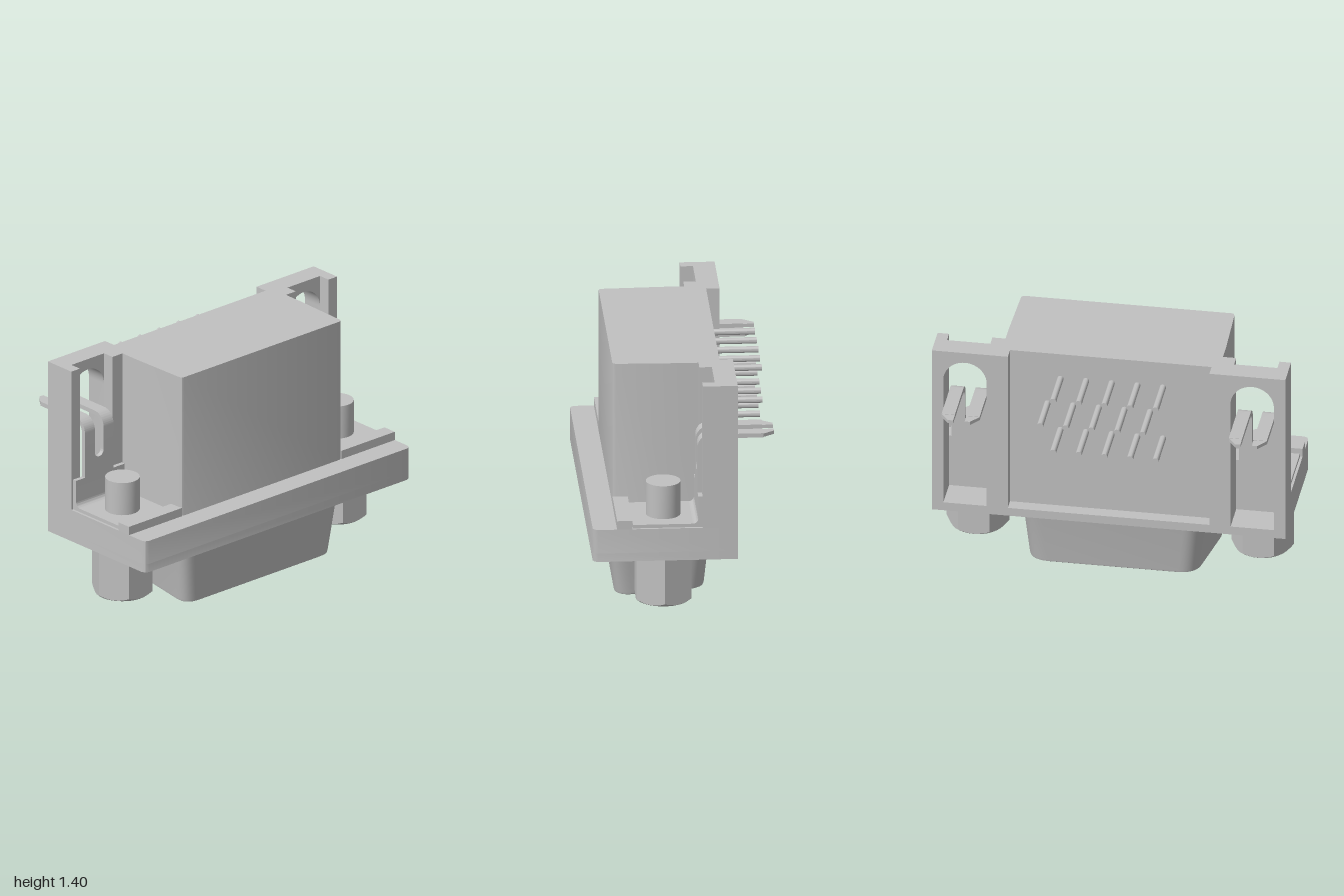
import * as THREE from 'three';
import { toCreasedNormals } from 'three/addons/utils/BufferGeometryUtils.js';

const grey = new THREE.MeshStandardMaterial({ color: 0xc0c0c0 });
grey.name = 'light grey';

function add(parent, name, geometry, x = 0, y = 0, z = 0) {
  const mesh = new THREE.Mesh(toCreasedNormals(geometry, 0.5), grey);
  mesh.name = name;
  mesh.position.set(x, y, z);
  parent.add(mesh);
  return mesh;
}

const poly = (pts) => new THREE.Shape(pts.map(([a, b]) => new THREE.Vector2(a, b)));
const extrude = (shape, depth) =>
  new THREE.ExtrudeGeometry(shape, { depth, bevelEnabled: false, curveSegments: 16 });

// Outline in (x, z), raised from y0 to y1
function plan(pts, y0, y1) {
  return extrude(poly(pts.map(([x, z]) => [x, -z])), y1 - y0).rotateX(-Math.PI / 2).translate(0, y0, 0);
}
// Outline in (x, y), from z0 to z1
const frontal = (shape, z0, z1) => extrude(shape, z1 - z0).translate(0, 0, z0);
// Outline in (z, y), centred on x with the given width
const sideways = (shape, x, width) =>
  extrude(shape, width).rotateY(-Math.PI / 2).translate(x + width / 2, 0, 0);

const mirrored = (pts) => [...pts, ...pts.map(([x, z]) => [-x, z]).reverse()];

// Rounded D outline of the shell, grown by o; k flips the second axis
function dOutline(o, k) {
  const zf = 0.36 + o, zb = -0.15 - o;
  const c = [[-0.47 - o, zb], [-0.56 - o, zf], [0.56 + o, zf], [0.47 + o, zb]];
  const shape = new THREE.Shape();
  c.forEach((p, i) => {
    const toward = (q) => {
      const t = 0.1 / Math.hypot(q[0] - p[0], q[1] - p[1]);
      return [p[0] + (q[0] - p[0]) * t, k * (p[1] + (q[1] - p[1]) * t)];
    };
    const a = toward(c[(i + 3) % 4]), b = toward(c[(i + 1) % 4]);
    if (i === 0) shape.moveTo(...a);
    else shape.lineTo(...a);
    shape.quadraticCurveTo(p[0], k * p[1], ...b);
  });
  return shape;
}

// Flared shell wall lofted through D outlines
function shellWall() {
  const levels = [[0, -0.012], [0.006, -0.003], [0.018, 0], [0.33, 0.033], [0.352, 0.04], [0.365, 0.052], [0.371, 0.07]];
  const pos = [], index = [];
  let n = 0;
  for (const [y, o] of levels) {
    const pts = dOutline(o, -1).getPoints(8);
    if (THREE.ShapeUtils.isClockWise(pts)) pts.reverse();
    n = pts.length;
    for (const p of pts) pos.push(p.x, y, -p.y);
  }
  for (let l = 0; l < levels.length - 1; l++) {
    for (let j = 0; j < n; j++) {
      const a = l * n + j, b = l * n + ((j + 1) % n);
      index.push(a, b, a + n, b, b + n, a + n);
    }
  }
  const g = new THREE.BufferGeometry();
  g.setAttribute('position', new THREE.Float32BufferAttribute(pos, 3));
  g.setIndex(index);
  return g;
}

// Hexagonal jack nut: a lathe whose outer rings are pushed to a hexagon
function hexNut() {
  const profile = [[0, 0.22], [0.088, 0.22], [0.088, 0.1], [0.108, 0.08], [0.15, 0.08], [0.2, 0.08], [0.2, 0.372]];
  const g = new THREE.LatheGeometry(profile.map(([r, y]) => new THREE.Vector2(r, y)), 60);
  const p = g.attributes.position;
  for (let i = 0; i < p.count; i++) {
    const x = p.getX(i), z = p.getZ(i), y = p.getY(i);
    if (Math.hypot(x, z) < 0.19) continue;
    const a = Math.atan2(z, x), s = Math.PI / 3;
    const local = a - Math.floor(a / s) * s - s / 2;
    const r = 0.154 / Math.cos(local);
    p.setXYZ(i, r * Math.cos(a), y < 0.2 ? y + (r - 0.15) * 0.8 : y, r * Math.sin(a));
  }
  return g;
}

// Mounting ear: slotted wall, bent bracket with two prongs, post and nut
function ear(s) {
  const g = new THREE.Group();
  g.name = s > 0 ? 'leftEar' : 'rightEar';
  const rect = (x0, x1, y0, y1) => poly([[s * x0, y0], [s * x1, y0], [s * x1, y1], [s * x0, y1]]);
  const cx = s * 0.8125;

  const wall = rect(0.6, 1, 0.42, 1.4);
  const slot = new THREE.Path();
  slot.moveTo(cx - 0.1225, 0.421);
  slot.lineTo(cx + 0.1225, 0.421);
  slot.lineTo(cx + 0.1225, 1.215);
  slot.absarc(cx, 1.215, 0.1225, 0, Math.PI);
  slot.closePath();
  wall.holes.push(slot);
  add(g, 'slottedWall', frontal(wall, -0.3, -0.175));
  add(g, 'outerWallRib', frontal(rect(0.935, 1, 0.56, 1.4), -0.175, -0.105));
  add(g, 'innerWallRib', frontal(rect(0.6, 0.69, 0.56, 1.4), -0.175, -0.105));
  add(g, 'frontRidge', new THREE.BoxGeometry(0.4, 0.05, 0.085), s * 0.8, 0.585, 0.3325);

  // Bracket foot, bending up against the wall
  const foot = new THREE.Shape();
  foot.moveTo(0.285, 0.56);
  foot.lineTo(0.285, 0.58);
  foot.lineTo(-0.05, 0.58);
  foot.absarc(-0.05, 0.61, 0.03, -Math.PI / 2, -Math.PI, true);
  foot.lineTo(-0.08, 0.74);
  foot.lineTo(-0.105, 0.74);
  foot.lineTo(-0.105, 0.56);
  add(g, 'bracketFoot', sideways(foot, s * 0.803, 0.365));

  // Fork with a rounded crotch
  const fork = new THREE.Shape();
  fork.moveTo(cx - 0.1075, 0.74);
  fork.lineTo(cx + 0.1075, 0.74);
  fork.lineTo(cx + 0.1075, 0.9);
  fork.lineTo(cx + 0.0325, 0.9);
  fork.lineTo(cx + 0.0325, 0.8725);
  fork.absarc(cx, 0.8725, 0.0325, 0, Math.PI, true);
  fork.lineTo(cx - 0.0325, 0.9);
  fork.lineTo(cx - 0.1075, 0.9);
  add(g, 'bracketFork', frontal(fork, -0.105, -0.08));

  // Prongs bending back through the slot to chamfered tips
  for (const d of [-1, 1]) {
    const prong = new THREE.Shape();
    prong.moveTo(-0.08, 0.9);
    prong.lineTo(-0.08, 1.01);
    prong.absarc(-0.155, 1.01, 0.075, 0, Math.PI / 2);
    prong.lineTo(-0.45, 1.085);
    prong.lineTo(-0.45, 1.06);
    prong.lineTo(-0.155, 1.06);
    prong.absarc(-0.155, 1.01, 0.05, Math.PI / 2, 0, true);
    prong.lineTo(-0.105, 0.9);
    add(g, 'prong', sideways(prong, cx + d * 0.07, 0.075));
    const tip = [[0.0325, -0.45], [0.1075, -0.45], [0.062, -0.51], [0.0325, -0.51]];
    add(g, 'prongTip', plan(tip.map(([x, z]) => [cx + d * x, z]), 1.063, 1.083));
  }

  add(g, 'post', new THREE.CylinderGeometry(0.097, 0.097, 0.215, 40), s * 0.805, 0.6675, 0.105);
  add(g, 'hexNut', hexNut(), s * 0.805, 0, 0.105);
  return g;
}

export function createModel() {
  const model = new THREE.Group();
  model.name = 'socketConnector';

  // Flange, with the rear recess and slots starting above its base
  const nose = [[0, 0.51], [0.97, 0.51], [0.991, 0.501], [1, 0.48]];
  add(model, 'flangeBase', plan(mirrored([...nose.slice(1), [1, -0.3]]), 0.37, 0.42));
  add(model, 'flange', plan(mirrored([
    ...nose.slice(1), [1, -0.3], [0.935, -0.3], [0.935, -0.105], [0.69, -0.105],
    [0.69, -0.3], [0.57, -0.3], [0.57, -0.225],
  ]), 0.42, 0.56));

  // Housing block with a recessed back
  add(model, 'housing', plan(mirrored([
    [0.585, 0.375], [0.598, 0.37], [0.604, 0.355], [0.615, 0], [0.615, -0.3], [0.57, -0.3], [0.57, -0.225],
  ]), 0.56, 1.4));

  // Shell and its perforated face
  add(model, 'shellWall', shellWall());
  const face = dOutline(-0.012, 1);
  const sockets = new THREE.Group();
  sockets.name = 'sockets';
  const pins = new THREE.Group();
  pins.name = 'pins';
  const socketProfile = [[0, 0.06], [0.027, 0.06], [0.027, 0]].map(([r, y]) => new THREE.Vector2(r, y));
  for (let row = -1; row <= 1; row++) {
    for (let i = -2; i <= 2; i++) {
      const x = i * 0.145 + (row === 0 ? 0.068 : -0.005);
      const z = 0.11 + row * 0.16;
      const hole = new THREE.Path();
      hole.absarc(x, z, 0.027, 0, Math.PI * 2);
      face.holes.push(hole);
      add(sockets, 'socket', new THREE.LatheGeometry(socketProfile, 24), x, 0, z);
      const pin = new THREE.CylinderGeometry(0.018, 0.018, 0.27, 16).rotateX(Math.PI / 2);
      add(pins, 'pin', pin, x, 1.077 + row * 0.165, -0.345);
    }
  }
  add(model, 'shellFace', new THREE.ShapeGeometry(face, 12).rotateX(Math.PI / 2));
  model.add(sockets, pins, ear(1), ear(-1));
  return model;
}
